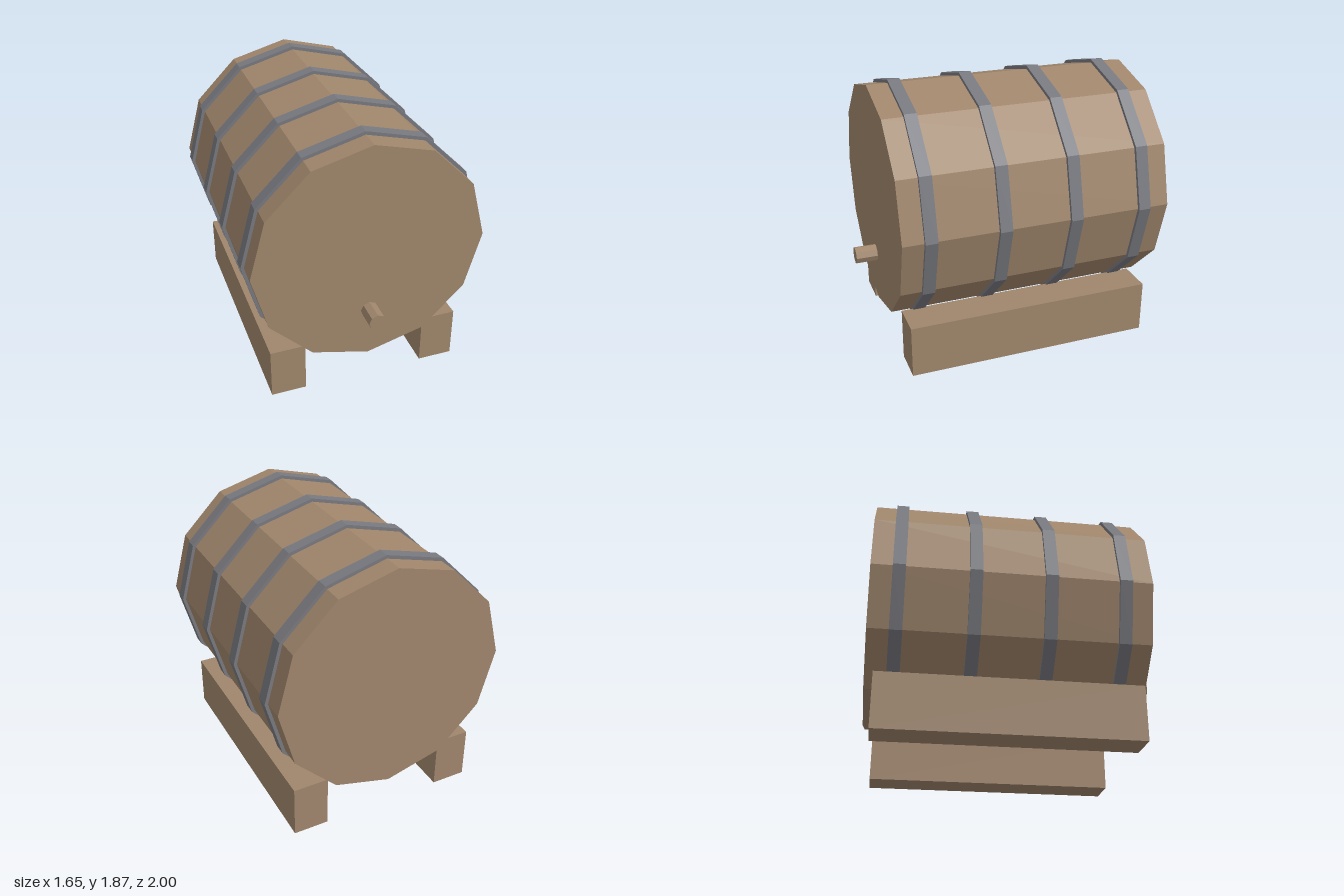
import * as THREE from 'three';

const wood = new THREE.MeshStandardMaterial({ color: 0xa0866c });
wood.name = 'wood';
const iron = new THREE.MeshStandardMaterial({ color: 0x78797f });
iron.name = 'iron';

// Faceted prism lying along z, from z0 to z1
function prism(name, radius, sides, y, z0, z1, material) {
  const geometry = new THREE.CylinderGeometry(radius, radius, z1 - z0, sides)
    .rotateX(Math.PI / 2)
    .toNonIndexed();
  geometry.computeVertexNormals();
  const mesh = new THREE.Mesh(geometry, material);
  mesh.name = name;
  mesh.position.set(0, y, (z0 + z1) / 2);
  return mesh;
}

export function createModel() {
  const model = new THREE.Group();
  model.name = 'barrel';
  const axisY = 1.05;

  // Barrel body and its spigot
  model.add(prism('body', 0.8, 12, axisY, -1, 0.85, wood));
  model.add(prism('spigot', 0.06, 8, 0.62, 0.84, 1, wood));

  // Four evenly spaced iron hoops
  for (let i = 0; i < 4; i++) {
    const z = 0.665 - i * 0.494;
    model.add(prism('hoop' + (i + 1), 0.823, 12, axisY, z - 0.042, z + 0.042, iron));
  }

  // Support beams on both sides
  for (const side of [1, -1]) {
    const beam = new THREE.Mesh(new THREE.BoxGeometry(0.245, 0.37, 1.725), wood);
    beam.name = side > 0 ? 'leftBeam' : 'rightBeam';
    beam.position.set(side * 0.553, 0.185, -0.077);
    model.add(beam);
  }
  return model;
}
